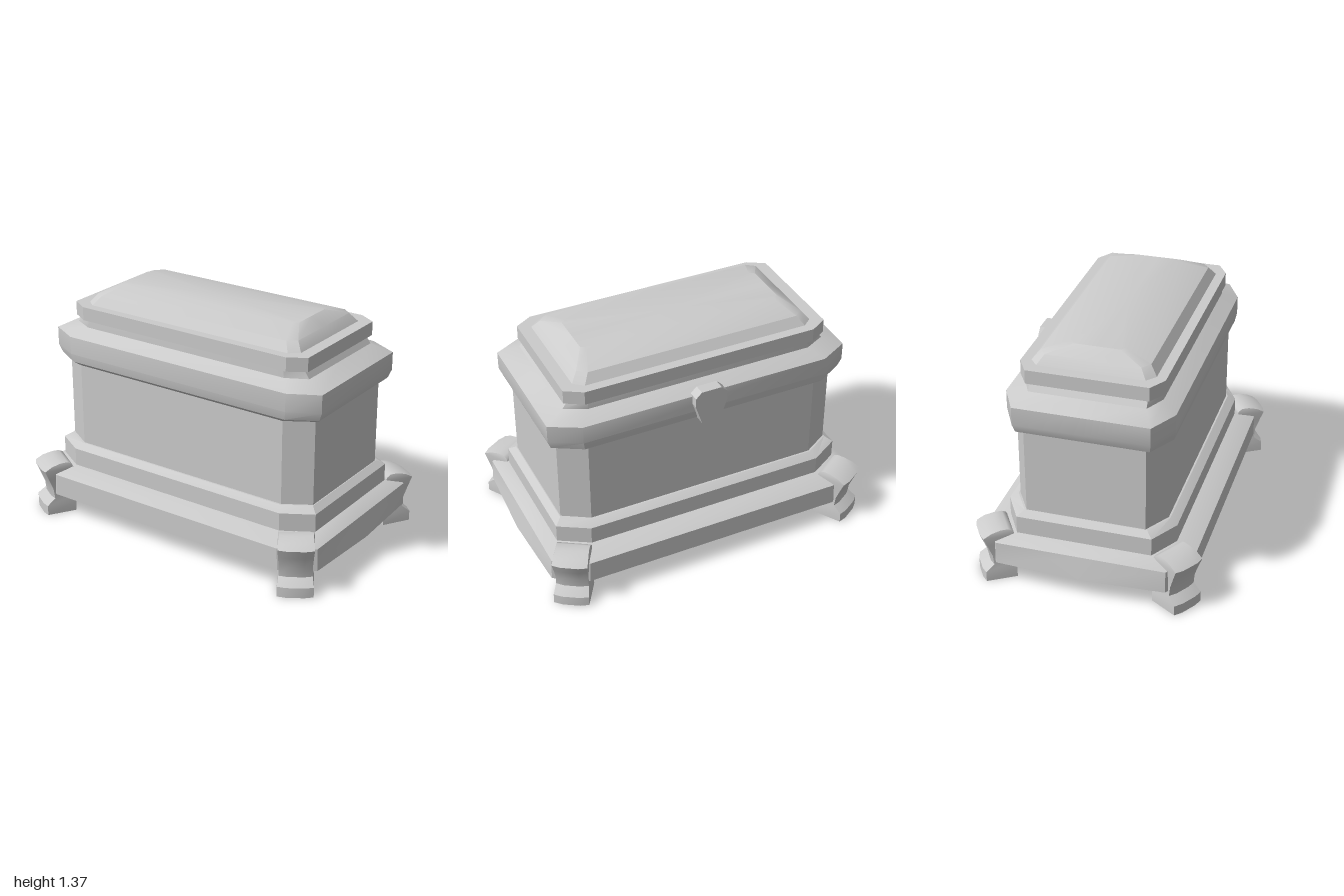
import * as THREE from 'three';
import { toCreasedNormals } from 'three/addons/utils/BufferGeometryUtils.js';

const material = new THREE.MeshStandardMaterial({ color: 0xcccccc, side: THREE.DoubleSide });

// Skin a stack of closed loops (bottom to top) and cap both ends.
function loft(name, loops, crease) {
  const n = loops[0].length, pos = [];
  const tri = (a, b, c) => pos.push(...a, ...b, ...c);
  for (let k = 0; k < loops.length - 1; k++) {
    for (let i = 0; i < n; i++) {
      const j = (i + 1) % n, lo = loops[k], hi = loops[k + 1];
      tri(lo[i], lo[j], hi[j]);
      tri(lo[i], hi[j], hi[i]);
    }
  }
  const centre = (loop) => [0, 1, 2].map((c) => loop.reduce((s, p) => s + p[c], 0) / n);
  const first = loops[0], last = loops[loops.length - 1];
  const c0 = centre(first), c1 = centre(last);
  for (let i = 0; i < n; i++) {
    const j = (i + 1) % n;
    tri(c0, first[j], first[i]);
    tri(c1, last[i], last[j]);
  }
  const geo = new THREE.BufferGeometry();
  geo.setAttribute('position', new THREE.Float32BufferAttribute(pos, 3));
  const mesh = new THREE.Mesh(toCreasedNormals(geo, crease), material);
  mesh.name = name;
  return mesh;
}

// Rectangle with cut corners; the short ends may bow outward.
function octagon([y, hx, hz, cx, cz, bow = 0]) {
  const x = hx - cx, z = hz - cz;
  return [
    [-x, y, hz], [x, y, hz], [hx, y, z], [hx + bow, y, 0], [hx, y, -z],
    [x, y, -hz], [-x, y, -hz], [-hx, y, -z], [-hx - bow, y, 0], [-hx, y, z],
  ];
}

// Leg cross-section: nearly square, with a slightly rounded outer face.
function legSection([y, inner, outer, w]) {
  return [
    [-w, y, outer - 0.008], [-w / 2, y, outer + 0.004], [w / 2, y, outer + 0.004],
    [w, y, outer - 0.008], [w, y, inner], [-w, y, inner],
  ];
}

export function createModel() {
  const model = new THREE.Group();
  model.name = 'chest';

  // Each level: height, half width, half depth, corner cut in x and z, bow
  const tiers = {
    baseSlab: [
      [0.13, 0.97, 0.6, 0.185, 0.115, 0.025],
      [0.26, 0.965, 0.6, 0.185, 0.115],
      [0.3, 0.89, 0.485, 0.15, 0.1],
    ],
    baseStep: [
      [0.3, 0.89, 0.485, 0.17, 0.1],
      [0.405, 0.89, 0.485, 0.17, 0.1],
      [0.432, 0.85, 0.44, 0.15, 0.09],
    ],
    body: [
      [0.43, 0.845, 0.43, 0.15, 0.09],
      [0.925, 0.845, 0.43, 0.15, 0.09],
    ],
    rim: [
      [0.925, 0.845, 0.43, 0.15, 0.09],
      [0.95, 0.885, 0.46, 0.16, 0.09],
      [1.0, 0.905, 0.47, 0.17, 0.09],
      [1.105, 0.905, 0.47, 0.17, 0.09],
      [1.15, 0.79, 0.385, 0.12, 0.06],
      [1.2, 0.755, 0.385, 0.09, 0.06],
    ],
    lidBand: [
      [1.195, 0.79, 0.4, 0.1, 0.06],
      [1.275, 0.79, 0.4, 0.1, 0.06],
    ],
    lidPanel: [
      [1.275, 0.72, 0.345, 0.055, 0.045],
      [1.325, 0.68, 0.305, 0.05, 0.04],
      [1.37, 0.6, 0.15, 0.03, 0.02],
    ],
  };
  for (const [name, levels] of Object.entries(tiers)) {
    model.add(loft(name, levels.map(octagon), 0.5));
  }

  // Four feet set square to the cut corners
  const legLevels = [
    [0, -0.1, 0.085, 0.1], [0.06, -0.1, 0.085, 0.1],
    [0.1, -0.085, 0.035, 0.093], [0.16, -0.085, 0.042, 0.092],
    [0.23, -0.09, 0.068, 0.096], [0.285, -0.095, 0.09, 0.1],
    [0.31, -0.085, 0.045, 0.098], [0.323, -0.06, -0.01, 0.094],
  ];
  for (const sx of [1, -1]) {
    for (const sz of [1, -1]) {
      const leg = loft(`${sz > 0 ? 'front' : 'back'}${sx > 0 ? 'Left' : 'Right'}Leg`,
        legLevels.map(legSection), 0.75);
      leg.position.set(sx * 0.86, 0, sz * 0.53);
      leg.rotation.y = Math.atan2(sx * 0.53, sz * 0.85);
      model.add(leg);
    }
  }

  // Shield-shaped latch on the back of the rim
  const outline = [[-0.055, 0.94], [0.055, 0.94], [0.095, 1.06], [0.095, 1.115], [0.06, 1.15],
    [-0.06, 1.15], [-0.095, 1.115], [-0.095, 1.06]];
  const shape = new THREE.Shape(outline.map(([x, y]) => new THREE.Vector2(x, y)));
  const latch = new THREE.Mesh(
    new THREE.ExtrudeGeometry(shape, { depth: 0.065, bevelEnabled: false }), material);
  latch.name = 'latch';
  latch.position.z = -0.515;
  model.add(latch);

  return model;
}
